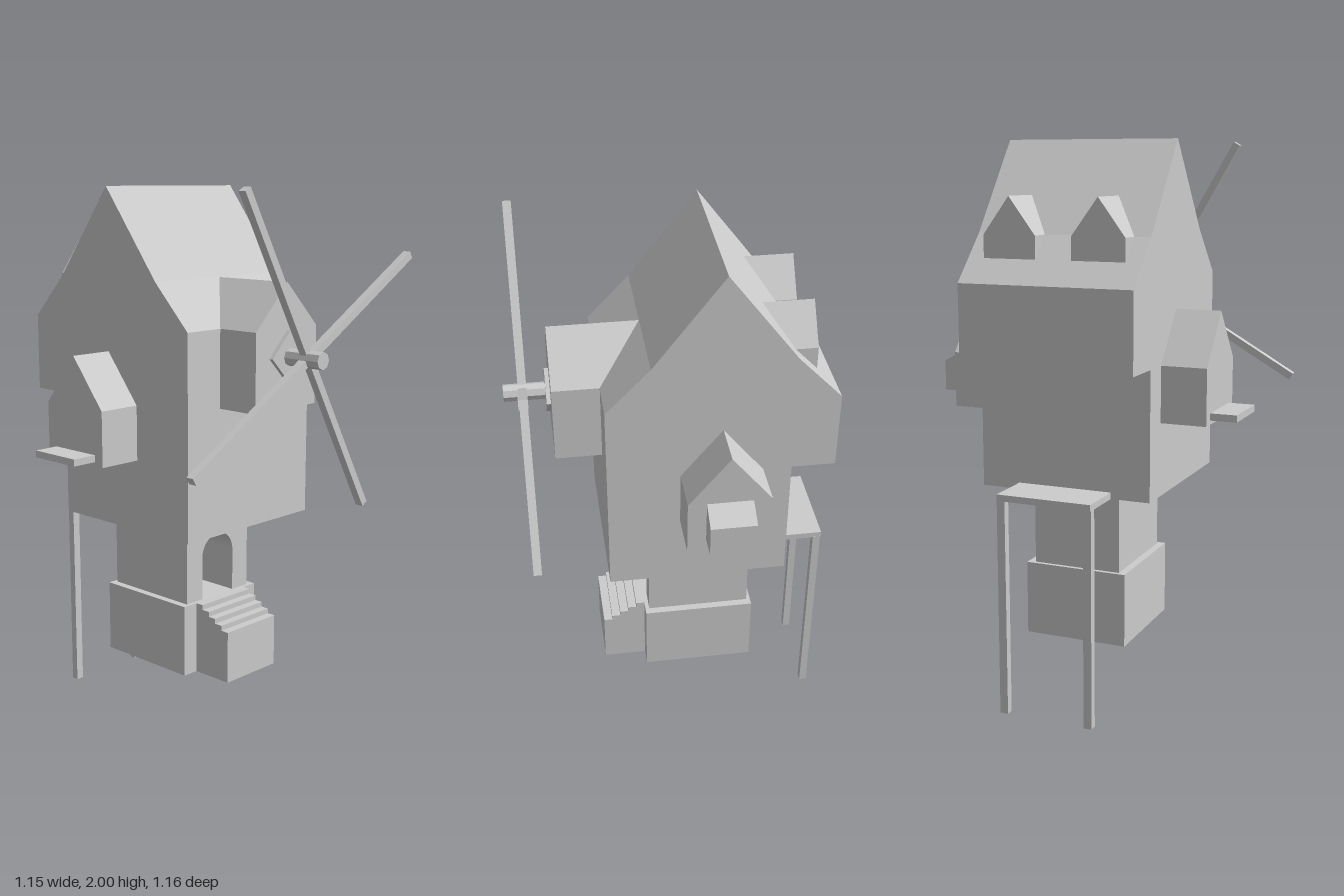
import * as THREE from 'three';

export function createModel() {
  const root = new THREE.Group();
  const mat = new THREE.MeshStandardMaterial({ color: 0xcccccc, flatShading: true });

  const add = (name, geo, parent = root) => {
    const m = new THREE.Mesh(geo, mat);
    m.name = name;
    parent.add(m);
    return m;
  };
  const shapeOf = pts => new THREE.Shape(pts.map(p => new THREE.Vector2(p[0], p[1])));
  const extrude = (shape, depth) =>
    new THREE.ExtrudeGeometry(shape, { depth, bevelEnabled: false, curveSegments: 12 });
  // Profile in (x, y), swept from z0 to z1
  const alongZ = (shape, z0, z1) => extrude(shape, z1 - z0).translate(0, 0, z0);
  // Profile in (-z, y), swept from x0 to x1
  const alongX = (shape, x0, x1) => extrude(shape, x1 - x0).rotateY(Math.PI / 2).translate(x0, 0, 0);
  const box = (x0, x1, y0, y1, z0, z1) =>
    new THREE.BoxGeometry(x1 - x0, y1 - y0, z1 - z0)
      .translate((x0 + x1) / 2, (y0 + y1) / 2, (z0 + z1) / 2);
  // Five-sided house outline
  const gable = (c, half, bottom, eave, peak) => shapeOf([
    [c - half, bottom], [c + half, bottom], [c + half, eave], [c, peak], [c - half, eave],
  ]);

  // Main house with steep roof and overhanging left side
  add('house', alongZ(shapeOf([
    [-0.4, 0.78], [0.245, 0.78], [0.245, 1.52], [0.09, 1.68], [-0.155, 2],
    [-0.4, 1.68], [-0.555, 1.52], [-0.555, 1.24], [-0.4, 1.24],
  ]), -0.32, 0.32));

  // Gabled bays on the front and back
  for (const [name, z0, z1] of [['frontBay', 0.31, 0.485], ['backBay', -0.485, -0.31]]) {
    add(name, alongZ(gable(-0.155, 0.145, 1.04, 1.24, 1.42), z0, z1));
  }
  add('frontShelf', box(-0.26, -0.05, 1.055, 1.08, 0.48, 0.58));
  add('backBox', alongX(shapeOf([
    [0.48, 1.085], [0.565, 1.085], [0.565, 1.195], [0.48, 1.243],
  ]), -0.235, -0.075));

  // Sail dormer on the side and the two small roof dormers
  add('sailDormer', alongX(gable(0, 0.16, 1.24, 1.52, 1.68), 0.09, 0.41));
  for (const z of [-0.163, 0.163]) {
    add('roofDormer', alongX(gable(-z, 0.097, 1.57, 1.68, 1.81), -0.477, -0.3));
  }

  // Windmill sails: diamond plate, shaft and two crossed arms
  const sails = new THREE.Group();
  sails.name = 'sails';
  sails.position.y = 1.424;
  root.add(sails);
  add('hubPlate', new THREE.BoxGeometry(0.03, 0.128, 0.128)
    .rotateX(Math.PI / 4).translate(0.41, 0, 0), sails);
  add('shaft', new THREE.CylinderGeometry(0.031, 0.031, 0.17, 8)
    .rotateZ(Math.PI / 2).translate(0.487, 0, 0), sails);
  for (const turn of [Math.PI / 6, Math.PI * 2 / 3]) {
    add('sailArm', new THREE.BoxGeometry(0.03, 1.314, 0.028)
      .rotateX(turn).translate(0.505, 0, 0), sails);
  }

  // Tower neck with an arched doorway
  const front = shapeOf([[-0.165, 0.47], [0.165, 0.47], [0.165, 0.79], [-0.165, 0.79]]);
  const door = new THREE.Path();
  door.moveTo(-0.083, 0.48);
  door.lineTo(-0.083, 0.64);
  door.absarc(0, 0.64, 0.083, Math.PI, 0, true);
  door.lineTo(0.083, 0.48);
  door.closePath();
  front.holes.push(door);
  add('towerDoorway', alongX(front, -0.15, 0.085));
  add('towerBack', box(-0.3, -0.15, 0.47, 0.79, -0.165, 0.165));

  // Base block and entrance stairs
  add('base', box(-0.315, 0.1, 0.21, 0.48, -0.193, 0.193));
  const steps = [[0.09, 0.21], [0.26, 0.21], [0.26, 0.405]];
  for (let i = 0; i < 4; i++) {
    const x = 0.228 - i * 0.032, y = 0.405 + i * 0.0188;
    steps.push([x, y], [x, y + 0.0188]);
  }
  steps.push([0.09, 0.48]);
  add('stairs', alongZ(shapeOf(steps), -0.13, 0.13));

  // Side platform on two posts
  add('platform', box(-0.575, -0.39, 0.78, 0.803, -0.176, 0.176));
  for (const s of [-1, 1]) {
    add('platformPost', box(-0.572, -0.544, 0, 0.785, s * 0.162 - 0.015, s * 0.162 + 0.015));
  }

  return root;
}
